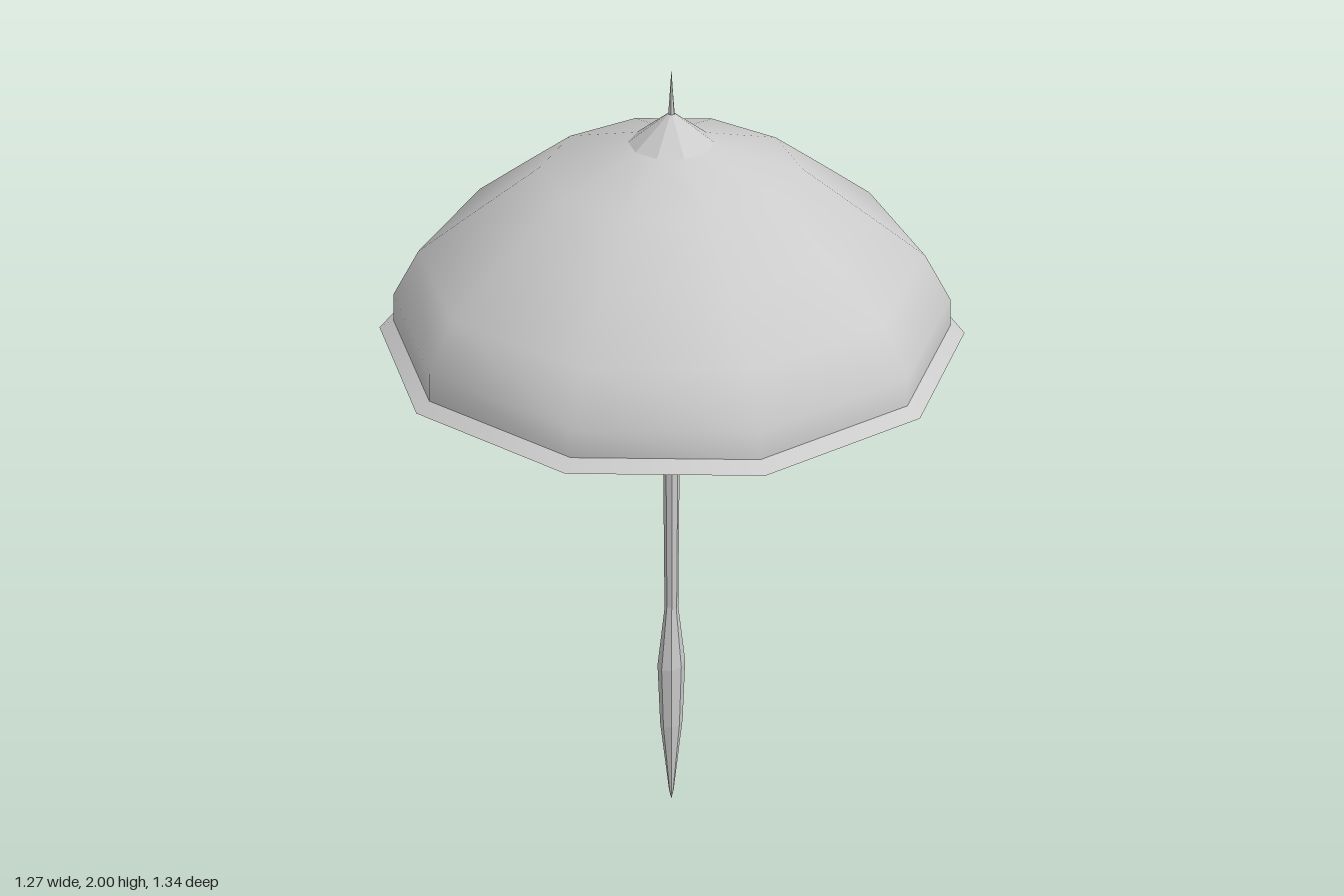
import * as THREE from 'three';

const smooth = new THREE.MeshStandardMaterial({ color: 0xcccccc, side: THREE.DoubleSide });
const faceted = new THREE.MeshStandardMaterial({ color: 0xcccccc, flatShading: true, side: THREE.DoubleSide });

// Revolves [radius, height] pairs, listed from bottom to top
function turned(name, profile, sides, material, depth = 1) {
  const points = profile.map(([r, y]) => new THREE.Vector2(r, y));
  const mesh = new THREE.Mesh(new THREE.LatheGeometry(points, sides), material);
  mesh.scale.z = depth;
  mesh.name = name;
  return mesh;
}

export function createModel() {
  const parasol = new THREE.Group();
  parasol.name = 'parasol';

  // Ten-sided canopy with a flared rim
  parasol.add(
    turned('canopy', [
      [0.637, 1.385], [0.633, 1.45], [0.57, 1.56], [0.43, 1.665], [0.288, 1.77], [0.095, 1.83],
    ], 10, smooth),
    turned('canopyRim', [[0.67, 1.365], [0.637, 1.385]], 10, smooth),
  );

  // Pointed cap and spike
  parasol.add(
    turned('cap', [[0.095, 1.83], [0.008, 1.898]], 10, faceted),
    turned('spike', [[0.008, 1.895], [0.005, 1.93], [0, 2]], 6, faceted),
  );

  // Upper shaft, its collar and the runner under the canopy
  parasol.add(
    turned('upperShaft', [[0.023, 1.05], [0.023, 1.84]], 8, faceted),
    turned('collar', [[0.018, 1.035], [0.034, 1.045], [0.034, 1.055], [0.022, 1.065]], 8, faceted),
    turned('runner', [[0.023, 1.44], [0.042, 1.47], [0.023, 1.8]], 8, faceted),
  );

  // Lower shaft swelling into a slightly flattened, pointed handle
  parasol.add(
    turned('lowerShaft', [[0.018, 0.6], [0.021, 1.04]], 8, faceted, 0.9),
    turned('handle', [
      [0, 0], [0.007, 0.03], [0.033, 0.25], [0.04, 0.43], [0.018, 0.61],
    ], 8, faceted, 0.77),
  );

  return parasol;
}
